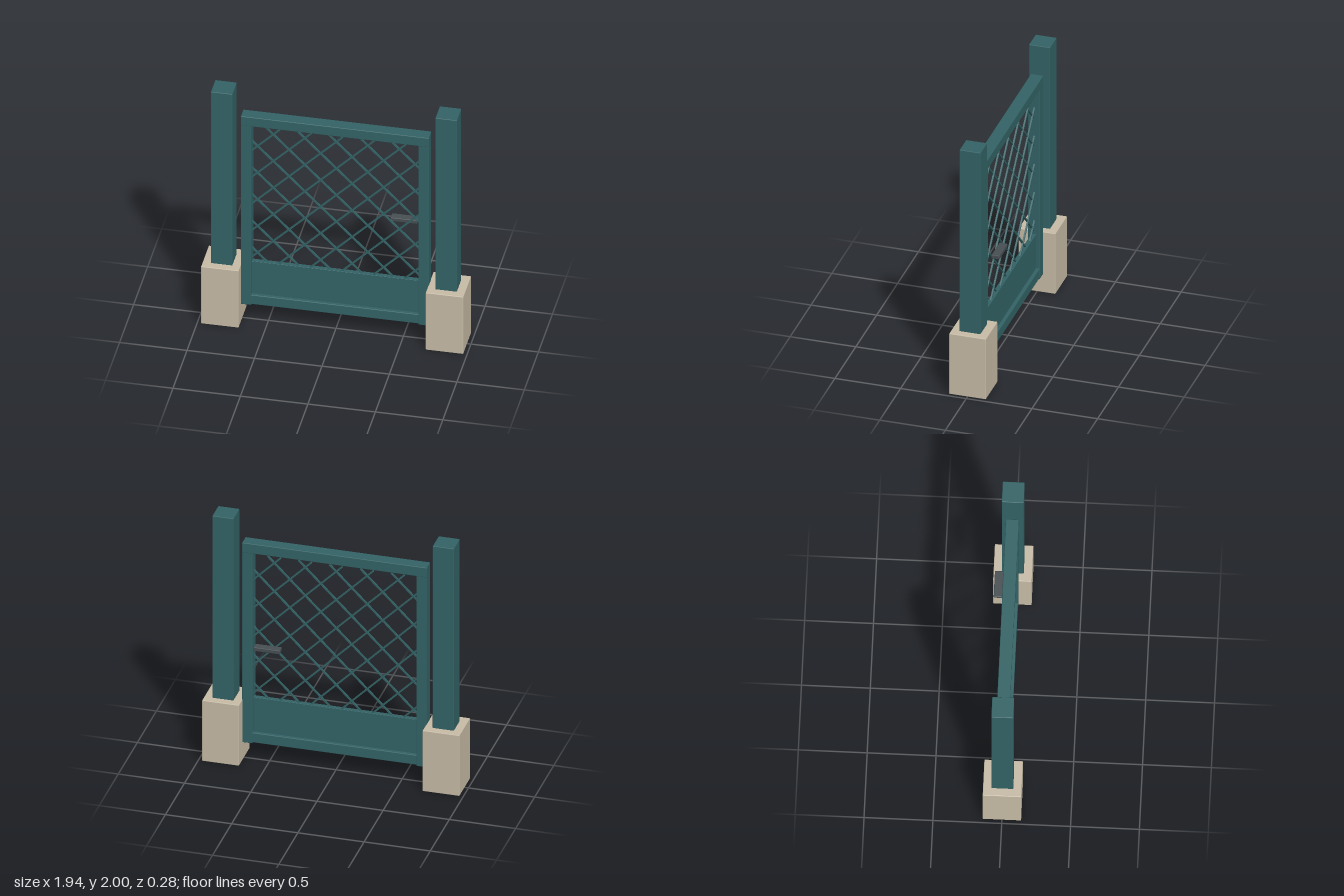
import * as THREE from 'three';
import { RoundedBoxGeometry } from 'three/addons/geometries/RoundedBoxGeometry.js';

export function createModel() {
  const gate = new THREE.Group();
  gate.name = 'gardenGate';

  const mat = (name, color) => {
    const m = new THREE.MeshStandardMaterial({ color });
    m.name = name;
    return m;
  };
  const teal = mat('teal paint', 0x336366);
  const stone = mat('sandstone', 0xc8bca7);
  const iron = mat('dark iron', 0x474f53);

  // Box with softened edges, given by its extents
  const block = (name, material, [x0, x1], [y0, y1], [z0, z1], bevel = 0.005) => {
    const mesh = new THREE.Mesh(
      new RoundedBoxGeometry(x1 - x0, y1 - y0, z1 - z0, 2, bevel), material);
    mesh.position.set((x0 + x1) / 2, (y0 + y1) / 2, (z0 + z1) / 2);
    mesh.name = name;
    gate.add(mesh);
  };

  // Posts in footings, and the upright stiles of the gate leaf
  for (const side of [1, -1]) {
    const label = side > 0 ? 'left' : 'right';
    const span = (a, b) => (side > 0 ? [a, b] : [-b, -a]);
    block(label + 'Footing', stone, span(0.693, 0.972), [0, 0.5], [-0.14, 0.14]);
    block(label + 'Post', teal, span(0.752, 0.912), [0.49, 2], [-0.08, 0.08]);
    block(label + 'Stile', teal, span(0.619, 0.697), [0.147, 1.785], [-0.046, 0.046]);
  }

  // Rails and the recessed kick panel
  block('topRail', teal, [-0.697, 0.697], [1.713, 1.793], [-0.047, 0.047]);
  block('bottomRail', teal, [-0.63, 0.63], [0.155, 0.235], [-0.044, 0.044]);
  block('kickPanel', teal, [-0.63, 0.63], [0.2, 0.515], [-0.018, 0.018], 0.002);

  // Diagonal lattice, each bar clipped to the opening
  const lattice = new THREE.Group();
  lattice.name = 'lattice';
  gate.add(lattice);
  const [halfW, bottom, top, pitch, nodeY] = [0.628, 0.5, 1.685, 0.2335, 1.635];
  for (const slope of [1, -1]) {
    for (let k = -8; k <= 8; k++) {
      // Bar follows y = nodeY + slope * (x - k * pitch)
      const atY = (y) => k * pitch + slope * (y - nodeY);
      const ends = [atY(bottom), atY(top)].sort((a, b) => a - b);
      const x0 = Math.max(-halfW, ends[0]);
      const x1 = Math.min(halfW, ends[1]);
      if (x1 - x0 < 0.02) continue;
      const bar = new THREE.Mesh(
        new THREE.BoxGeometry((x1 - x0) * Math.SQRT2, 0.012, 0.012), teal);
      const midX = (x0 + x1) / 2;
      bar.position.set(midX, nodeY + slope * (midX - k * pitch), slope * 0.003);
      bar.rotation.z = slope * Math.PI / 4;
      bar.name = 'latticeBar';
      lattice.add(bar);
    }
  }

  // Lever handle at the back
  block('handle', iron, [0.391, 0.589], [0.954, 0.985], [-0.122, -0.06], 0.005);

  return gate;
}
